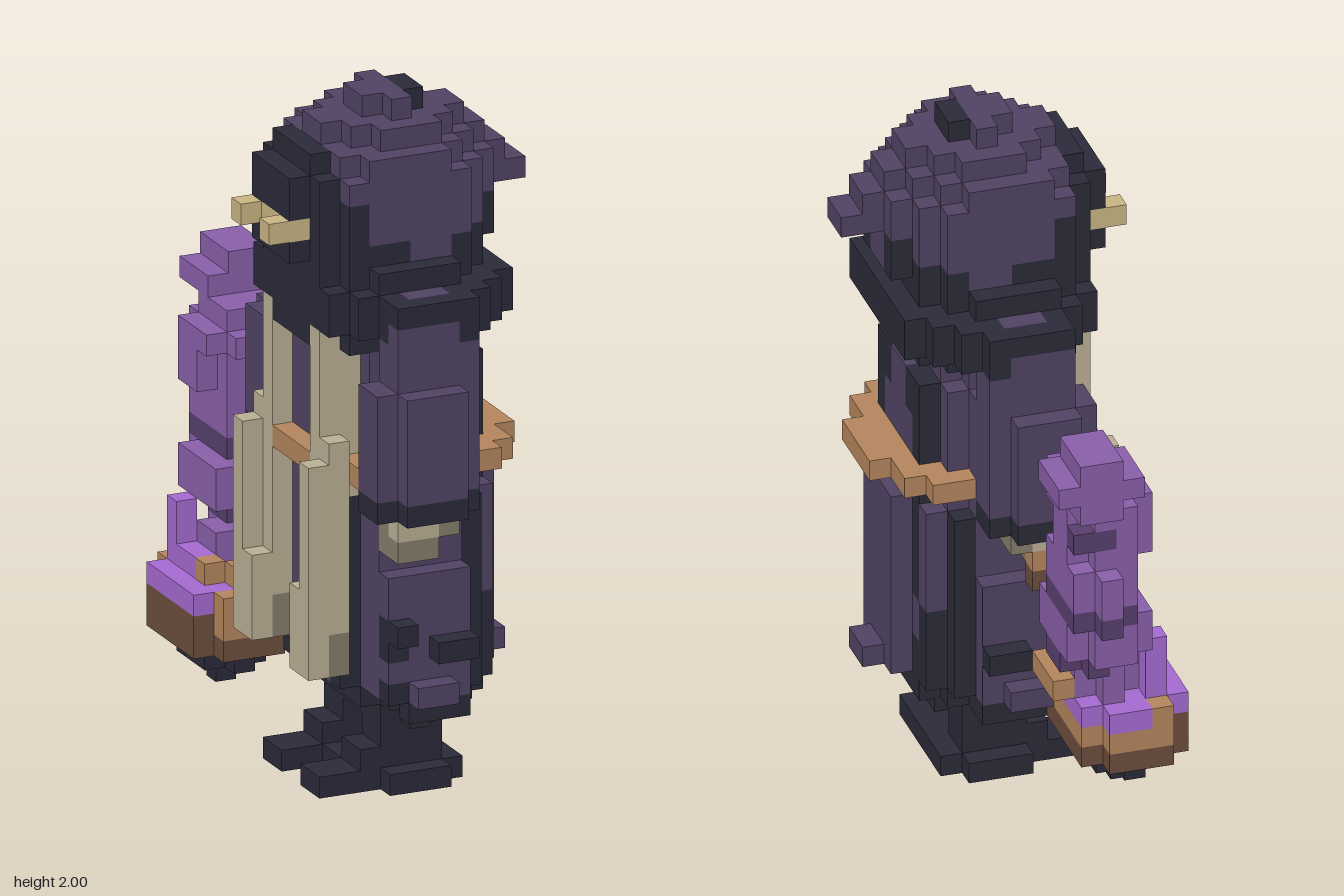
import * as THREE from 'three';

const S = 0.0625, MID = 14; // cube size, symmetry plane of the figure (in z cells)

const colors = {
  charcoal: 0x2b2b3a, robePurple: 0x524465, smokePurple: 0x8b60ab, smokeShade: 0x59406f, brewViolet: 0xa76cd4,
  wood: 0xb5875e, darkWood: 0x6d4e3e, hairTan: 0xbdb197, skinTan: 0x857e6b, brass: 0xcbb885,
};

export function createModel() {
  const group = new THREE.Group();
  const mats = {};
  for (const name in colors) {
    mats[name] = new THREE.MeshStandardMaterial({ color: colors[name] });
    mats[name].name = name;
  }

  // Cubes are stored by cell; a later part replaces an earlier one.
  const cells = new Map();
  const key = (i, j, k) => `${i},${j},${k}`;
  const box = (part, mat, i0, i1, j0, j1, k0, k1) => {
    for (let i = i0; i < i1; i++) for (let j = j0; j < j1; j++) for (let k = k0; k < k1; k++)
      cells.set(key(i, j, k), { i, j, k, part, mat });
  };
  // Both sides of the figure, between distances w0 and w1 from its middle
  const pair = (part, mat, i0, i1, j0, j1, w0, w1) => {
    box(part, mat, i0, i1, j0, j1, MID + w0, MID + w1);
    box(part, mat, i0, i1, j0, j1, MID - w1, MID - w0);
  };
  // Symmetric layer from rows of [i0, i1, w0, w1]
  const layer = (part, mat, j0, j1, rows) =>
    rows.forEach(([a, b, w0, w1]) => pair(part, mat, a, b, j0, j1, w0, w1));
  // Slab with stepped corners
  const slab = (part, mat, i0, i1, j0, j1, k0, k1, cut) => {
    for (let k = k0; k < k1; k++) {
      const c = Math.max(0, cut - Math.min(k - k0, k1 - 1 - k));
      box(part, mat, i0 + c, i1 - c, j0, j1, k, k + 1);
    }
  };
  const disc = (part, mat, i0, i1, j0, j1, w, cut) => slab(part, mat, i0, i1, j0, j1, MID - w, MID + w, cut);
  // Recolour existing cells only, on both sides
  const paint = (mat, i0, i1, j0, j1, w0, w1) => {
    for (const c of cells.values()) {
      const w = c.k >= MID ? c.k - MID : MID - 1 - c.k;
      if (c.i >= i0 && c.i < i1 && c.j >= j0 && c.j < j1 && w >= w0 && w < w1) c.mat = mat;
    }
  };

  // Feet and legs
  disc('feet', 'charcoal', 4, 9, 0, 1, 4, 1);
  pair('feet', 'charcoal', 2, 5, 0, 1, 1, 3);
  pair('legs', 'charcoal', 5, 8, 1, 5, 1, 3);
  pair('legs', 'charcoal', 4, 5, 1, 2, 1, 3);
  disc('legs', 'charcoal', 5, 8, 3, 4, 4, 1);

  // Skirt of the robe with ragged hem and recessed dark folds
  disc('robe', 'charcoal', 4, 10, 4, 5, 5, 2);
  layer('robe', 'robePurple', 5, 14, [[3, 11, 0, 2], [3, 10, 2, 3], [4, 10, 3, 4], [4, 9, 4, 5]]);
  pair('robe', 'robePurple', 4, 8, 5, 11, 5, 6);
  pair('robe', 'charcoal', 5, 8, 4, 5, 5, 6);
  paint('charcoal', 3, 4, 5, 14, 2, 5);
  paint('charcoal', 4, 5, 7, 9, 5, 6);
  paint('charcoal', 4, 6, 5, 6, 5, 6);
  paint('charcoal', 8, 10, 9, 14, 2, 3);
  paint('charcoal', 8, 10, 7, 9, 3, 5);
  paint('charcoal', 8, 10, 5, 7, 2, 5);
  paint('charcoal', 8, 9, 9, 14, 4, 5);
  pair('robe', 'charcoal', 6, 8, 7, 8, 6, 7);
  pair('robe', 'charcoal', 4, 5, 8, 9, 6, 7);
  pair('robe', 'robePurple', 5, 7, 5, 6, 6, 7);
  pair('robe', 'robePurple', 11, 12, 5, 6, 0, 1);

  // Torso
  disc('torso', 'robePurple', 3, 10, 14, 20, 5, 2);
  disc('torso', 'robePurple', 3, 9, 20, 22, 5, 2);
  paint('charcoal', 7, 10, 14, 20, 2, 3);
  paint('charcoal', 8, 10, 18, 20, 1, 2);

  // Belt, running all the way round
  layer('belt', 'wood', 15, 16, [[8, 10, 4, 5], [9, 11, 2, 4], [10, 12, 0, 2]]);
  layer('belt', 'wood', 15, 16, [[2, 3, 0, 2], [3, 4, 2, 4], [3, 5, 4, 5]]);

  // Sleeves and hands
  pair('sleeves', 'robePurple', 4, 8, 20, 22, 5, 7);
  pair('sleeves', 'robePurple', 3, 8, 15, 20, 5, 7);
  pair('sleeves', 'robePurple', 4, 7, 15, 20, 7, 8);
  pair('cuffs', 'charcoal', 3, 8, 14, 15, 5, 7);
  pair('cuffs', 'charcoal', 4, 7, 14, 15, 7, 8);
  pair('hands', 'skinTan', 4, 7, 13, 14, 5, 7);
  pair('hands', 'skinTan', 4, 6, 12, 13, 5, 7);
  pair('hands', 'hairTan', 4, 6, 13, 14, 6, 7);

  // Collar
  disc('collar', 'charcoal', 2, 10, 21, 22, 4, 1);
  layer('collar', 'charcoal', 22, 24, [[2, 11, 0, 4], [3, 10, 4, 5], [4, 9, 5, 6], [4, 8, 6, 7]]);
  paint('robePurple', 4, 7, 22, 23, 6, 7);
  paint('robePurple', 5, 7, 23, 24, 5, 6);
  disc('collar', 'charcoal', 2, 10, 24, 25, 5, 2);

  // Hood, dark at the back and around the chin
  layer('hood', 'robePurple', 25, 29, [[1, 11, 0, 2], [2, 10, 2, 3], [3, 9, 3, 4]]);
  layer('hood', 'robePurple', 29, 30, [[2, 11, 0, 1], [2, 10, 1, 2], [3, 9, 2, 3], [4, 8, 3, 4]]);
  disc('hood', 'robePurple', 3, 10, 30, 31, 3, 2);
  disc('hood', 'robePurple', 5, 8, 31, 32, 2, 1);
  paint('charcoal', 7, 8, 31, 32, 0, 1);
  paint('charcoal', 1, 3, 25, 30, 0, 4);
  paint('charcoal', 3, 4, 25, 28, 0, 4);
  paint('charcoal', 8, 11, 25, 26, 1, 4);
  paint('charcoal', 9, 11, 26, 27, 1, 2);
  paint('charcoal', 4, 6, 25, 26, 3, 4);
  box('hoodPeak', 'robePurple', 11, 12, 28, 29, 13, 15);
  box('hoodPeak', 'robePurple', 11, 13, 27, 28, 13, 15);
  pair('hoodClasp', 'brass', 0, 1, 26, 27, 1, 2);
  pair('hoodClasp', 'brass', 1, 2, 26, 27, 0, 2);

  // Long strands down the back
  pair('strands', 'hairTan', 2, 3, 7, 22, 2, 3);
  pair('strands', 'hairTan', 3, 4, 14, 22, 2, 3);
  pair('strands', 'hairTan', 2, 3, 7, 17, 3, 4);
  pair('strands', 'hairTan', 1, 2, 6, 16, 3, 4);
  pair('strands', 'hairTan', 1, 2, 6, 10, 2, 3);
  pair('strands', 'skinTan', 2, 3, 6, 8, 2, 4);

  // Cauldron with brew
  box('cauldronFoot', 'charcoal', 2, 3, 2, 3, 5, 6);
  slab('cauldronBase', 'charcoal', 1, 4, 3, 4, 3, 8, 1);
  box('cauldronBase', 'charcoal', 1, 4, 3, 4, 4, 7);
  slab('cauldron', 'darkWood', 0, 5, 4, 5, 2, 9, 1);
  slab('cauldronRim', 'wood', 0, 5, 5, 6, 2, 9, 1);
  box('cauldronRim', 'darkWood', 0, 1, 5, 6, 3, 8);
  box('cauldronRim', 'darkWood', 4, 5, 5, 6, 7, 8);
  slab('brew', 'brewViolet', 0, 5, 6, 7, 2, 9, 1);
  box('brew', 'brewViolet', 1, 2, 7, 10, 3, 4);
  box('brew', 'brewViolet', 1, 2, 7, 8, 4, 6);

  // Wooden chips and ladle
  box('woodChips', 'wood', 1, 2, 6, 7, 2, 3);
  box('woodChips', 'wood', 1, 2, 7, 8, 6, 7);
  box('woodChips', 'wood', 2, 3, 7, 8, 7, 8);
  box('woodChips', 'wood', 1, 2, 6, 7, 8, 9);
  box('woodChips', 'wood', 5, 6, 7, 8, 4, 7);
  box('ladle', 'darkWood', 3, 6, 11, 12, 7, 8);
  box('ladle', 'wood', 3, 6, 12, 13, 7, 8);

  // Rising smoke
  const puffs = [ // i0, i1, y0, y1, k0, k1, colour
    [2, 5, 7, 9, 3, 7], [3, 6, 9, 10, 2, 6, 'smokeShade'], [2, 6, 10, 12, 1, 7],
    [3, 6, 12, 13, 0, 6, 'smokeShade'], [3, 6, 13, 15, 0, 6], [2, 6, 15, 17, 1, 5],
    [2, 6, 17, 18, 1, 6], [3, 6, 18, 19, 1, 6],
  ];
  puffs.forEach(([a, b, c, d, e, f, m]) => slab('smoke', m || 'smokePurple', a, b, c, d, e, f, 1));
  box('smoke', 'smokePurple', 4, 6, 18, 19, 0, 3);
  box('smoke', 'smokePurple', 3, 7, 19, 20, 0, 3);
  box('smoke', 'smokePurple', 4, 6, 20, 21, 0, 3);
  box('smoke', 'smokeShade', 4, 6, 16, 17, 1, 2);

  // Outer faces of the cubes, one mesh for each part and colour
  const dirs = [[1, 0, 0], [-1, 0, 0], [0, 1, 0], [0, -1, 0], [0, 0, 1], [0, 0, -1]];
  const faces = new Map();
  for (const c of cells.values()) {
    const id = `${c.part}|${c.mat}`;
    if (!faces.has(id)) faces.set(id, { pos: [], nor: [], part: c.part, mat: c.mat });
    const f = faces.get(id);
    for (const d of dirs) {
      if (cells.has(key(c.i + d[0], c.j + d[1], c.k + d[2]))) continue;
      const n = new THREE.Vector3(...d);
      const u = new THREE.Vector3(d[1], d[2], d[0]);
      const v = n.clone().cross(u);
      const mid = new THREE.Vector3(c.i - 6, c.j + 0.5, c.k - 10.5);
      for (const [a, b] of [[-1, -1], [1, -1], [1, 1], [-1, -1], [1, 1], [-1, 1]]) {
        const p = mid.clone().addScaledVector(n, 0.5).addScaledVector(u, a / 2).addScaledVector(v, b / 2);
        f.pos.push(p.x * S, p.y * S, p.z * S);
        f.nor.push(...d);
      }
    }
  }
  for (const f of faces.values()) {
    if (!f.pos.length) continue;
    const geo = new THREE.BufferGeometry();
    geo.setAttribute('position', new THREE.Float32BufferAttribute(f.pos, 3));
    geo.setAttribute('normal', new THREE.Float32BufferAttribute(f.nor, 3));
    const mesh = new THREE.Mesh(geo, mats[f.mat]);
    mesh.name = f.part;
    group.add(mesh);
  }
  return group;
}
